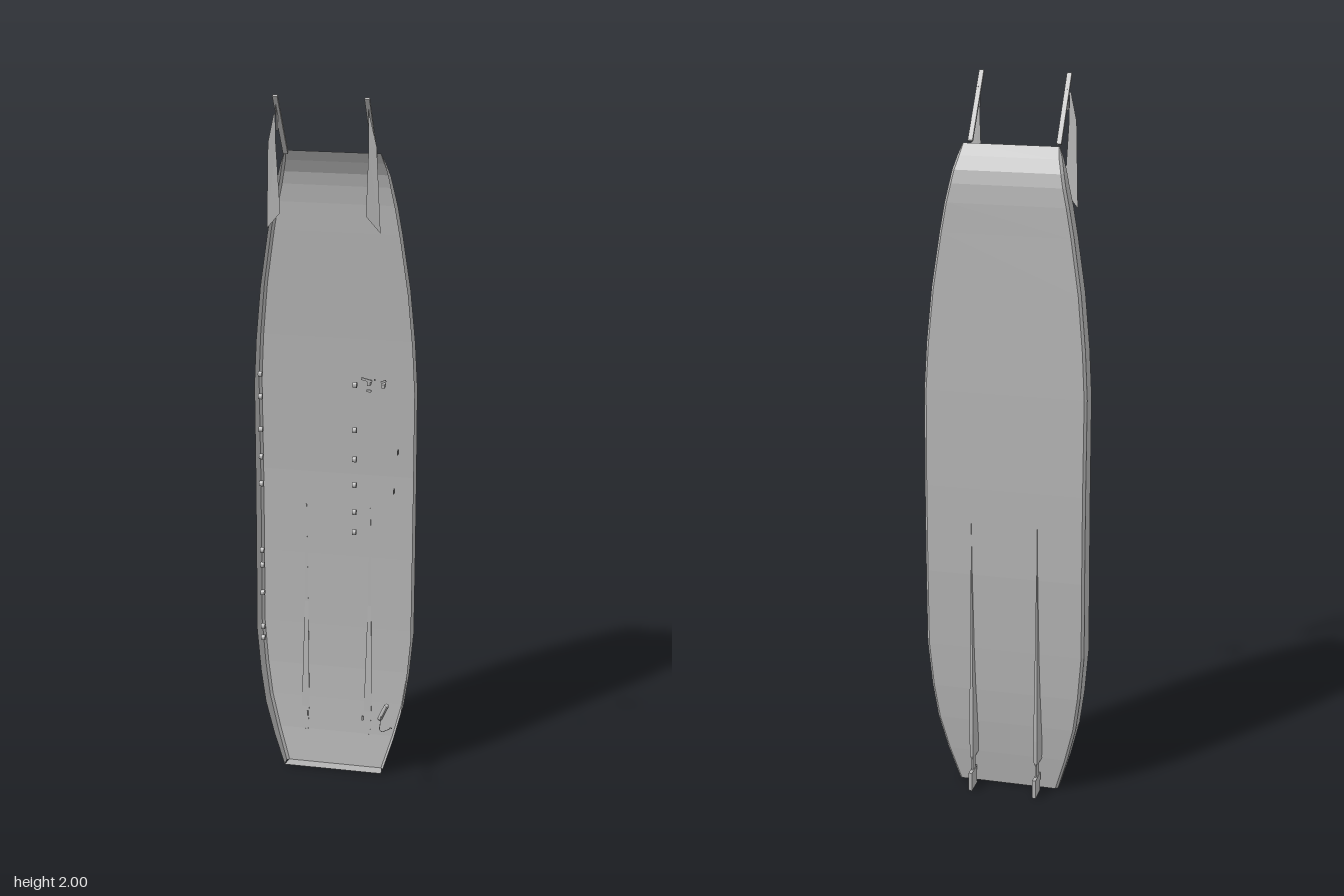
import * as THREE from 'three';

const grey = new THREE.MeshStandardMaterial({ color: 0xb4b4b4, flatShading: true, side: THREE.DoubleSide });
grey.name = 'grey';

// Join rows of [x, y, z] points into a surface
function loft(rows, close = false) {
  const n = rows[0].length, index = [];
  for (let i = 0; i < rows.length - 1; i++) {
    for (let j = 0; j < (close ? n : n - 1); j++) {
      const k = (j + 1) % n, a = i * n + j, b = i * n + k, c = a + n, d = b + n;
      index.push(a, b, d, a, d, c);
    }
  }
  const g = new THREE.BufferGeometry();
  g.setAttribute('position', new THREE.Float32BufferAttribute(rows.flat(2), 3));
  g.setIndex(index);
  g.computeVertexNormals();
  return g;
}

export function createModel() {
  const model = new THREE.Group();
  model.name = 'uprightHull';

  function add(name, geometry, x = 0, y = 0, z = 0, parent = model) {
    const m = new THREE.Mesh(geometry, grey);
    m.name = name;
    m.position.set(x, y, z);
    parent.add(m);
    return m;
  }
  const box = (w, h, d) => new THREE.BoxGeometry(w, h, d);

  // Open hull shell: height, half width, gunwale z, bottom z
  const stations = [
    [0, 0.145, -0.06, -0.095], [0.1, 0.175, -0.06, -0.11], [0.2, 0.2, -0.061, -0.121],
    [0.3, 0.214, -0.063, -0.129], [0.43, 0.225, -0.065, -0.135], [0.65, 0.225, -0.07, -0.139],
    [0.9, 0.225, -0.073, -0.139], [1.17, 0.225, -0.071, -0.132], [1.3, 0.218, -0.069, -0.128],
    [1.45, 0.204, -0.066, -0.122], [1.6, 0.182, -0.063, -0.116], [1.68, 0.168, -0.061, -0.113],
    [1.73, 0.157, -0.06, -0.108], [1.765, 0.15, -0.058, -0.1], [1.8, 0.141, -0.056, -0.081],
    [1.83, 0.13, -0.055, -0.06],
  ];
  const sections = stations.map(([y, w, zf, zb]) => {
    const c = Math.min(0.007, (zf - zb) / 3);
    return [[-w, y, zf], [-w, y, zb + c], [-w + c, y, zb], [w - c, y, zb], [w, y, zb + c], [w, y, zf]];
  });
  add('hullShell', loft(sections));

  // Stern transom
  add('transom', loft([[[-0.145, 0, -0.06], [0.145, 0, -0.06]], [[-0.14, 0, -0.095], [0.14, 0, -0.095]]]));

  for (const s of [1, -1]) {
    const side = s > 0 ? 'left' : 'right';

    // Tapering skeg on the hull bottom, ending in a foot block
    const skeg = [[0.8, 0.001, -0.136, -0.14], [0.5, 0.005, -0.134, -0.146], [0.25, 0.01, -0.12, -0.151],
      [0.17, 0.011, -0.115, -0.153], [0.1, 0.009, -0.108, -0.151], [0.09, 0.004, -0.125, -0.145],
      [0.05, 0.004, -0.125, -0.145]];
    add(side + 'Skeg', loft(skeg.map(([y, w, zi, zo]) => [
      [s * 0.093 - w, y, zi], [s * 0.093 + w, y, zi],
      [s * 0.093 + w * 0.5, y, zo], [s * 0.093 - w * 0.5, y, zo],
    ]), true));
    add(side + 'SkegFoot', box(0.01, 0.055, 0.055), s * 0.093, 0.0275, -0.139);

    // Slanted bow arm
    const arm = new THREE.Group();
    arm.name = side + 'BowArm';
    model.add(arm);
    add('armBar', box(0.013, 0.207, 0.008), s * 0.12, 1.914, 0.037, arm).rotation.x = 0.61;

    // Small gusset and hanging blade below the arm tip
    add('gusset', loft([
      [[s * 0.121, 1.975, 0.084], [s * 0.121, 1.96, 0.062]],
      [[s * 0.121, 1.905, 0.084], [s * 0.121, 1.905, 0.06]],
    ]), 0, 0, 0, arm);
    add('blade', loft([
      [[s * 0.122, 1.95, 0.088], [s * 0.126, 1.95, 0.088]],
      [[s * 0.122, 1.87, 0.083], [s * 0.143, 1.875, 0.083]],
      [[s * 0.114, 1.69, 0.073], [s * 0.152, 1.645, 0.067]],
    ]), 0, 0, 0, arm);
  }

  // Rows of small round studs
  const stud = new THREE.CylinderGeometry(0.008, 0.008, 0.011, 12).rotateZ(Math.PI / 2);
  for (const y of [1.22, 1.155, 1.06, 0.98, 0.9, 0.7, 0.655, 0.57, 0.465, 0.43]) add('sideStud', stud, -0.193, y, -0.01);
  for (const y of [1.205, 1.075, 0.99, 0.915, 0.835, 0.775]) add('middleStud', stud, 0.071, y, -0.01);

  // Small clips
  add('clip', box(0.003, 0.012, 0.016), 0.198, 0.94, 0.085);
  add('clip', box(0.003, 0.012, 0.016), 0.204, 1.045, 0.063);
  for (const x of [-0.085, 0.08]) add('sternClip', box(0.004, 0.014, 0.004), x, 0.152, -0.105);

  // Grip with a looping cord and end ring
  const grip = add('grip', new THREE.CapsuleGeometry(0.007, 0.045, 4, 10), 0.158, 0.226, -0.01);
  grip.rotation.z = -0.42;
  const cord = new THREE.CatmullRomCurve3([
    [0.153, 0.215, -0.005], [0.16, 0.218, 0.05], [0.166, 0.221, 0.09], [0.174, 0.222, 0.102],
    [0.182, 0.22, 0.09], [0.191, 0.215, 0.066],
  ].map((p) => new THREE.Vector3(...p)));
  add('cord', new THREE.TubeGeometry(cord, 24, 0.001, 5));
  add('cordRing', new THREE.TorusGeometry(0.0035, 0.001, 5, 12).rotateX(Math.PI / 2), 0.192, 0.214, 0.061);

  // Small fittings in front of the hull
  add('fittingPost', box(0.009, 0.012, 0.018), 0.139, 1.262, 0.145);
  add('fittingBase', box(0.03, 0.006, 0.005), 0.134, 1.272, 0.154).rotation.z = -0.25;
  add('fittingHook', box(0.012, 0.006, 0.004), 0.14, 1.242, 0.153);
  add('secondPost', box(0.009, 0.01, 0.02), 0.178, 1.257, 0.146);
  add('secondCap', box(0.014, 0.005, 0.004), 0.176, 1.265, 0.138).rotation.z = 0.4;
  add('fittingPin', box(0.004, 0.004, 0.004), 0.155, 1.272, 0.151);

  return model;
}
